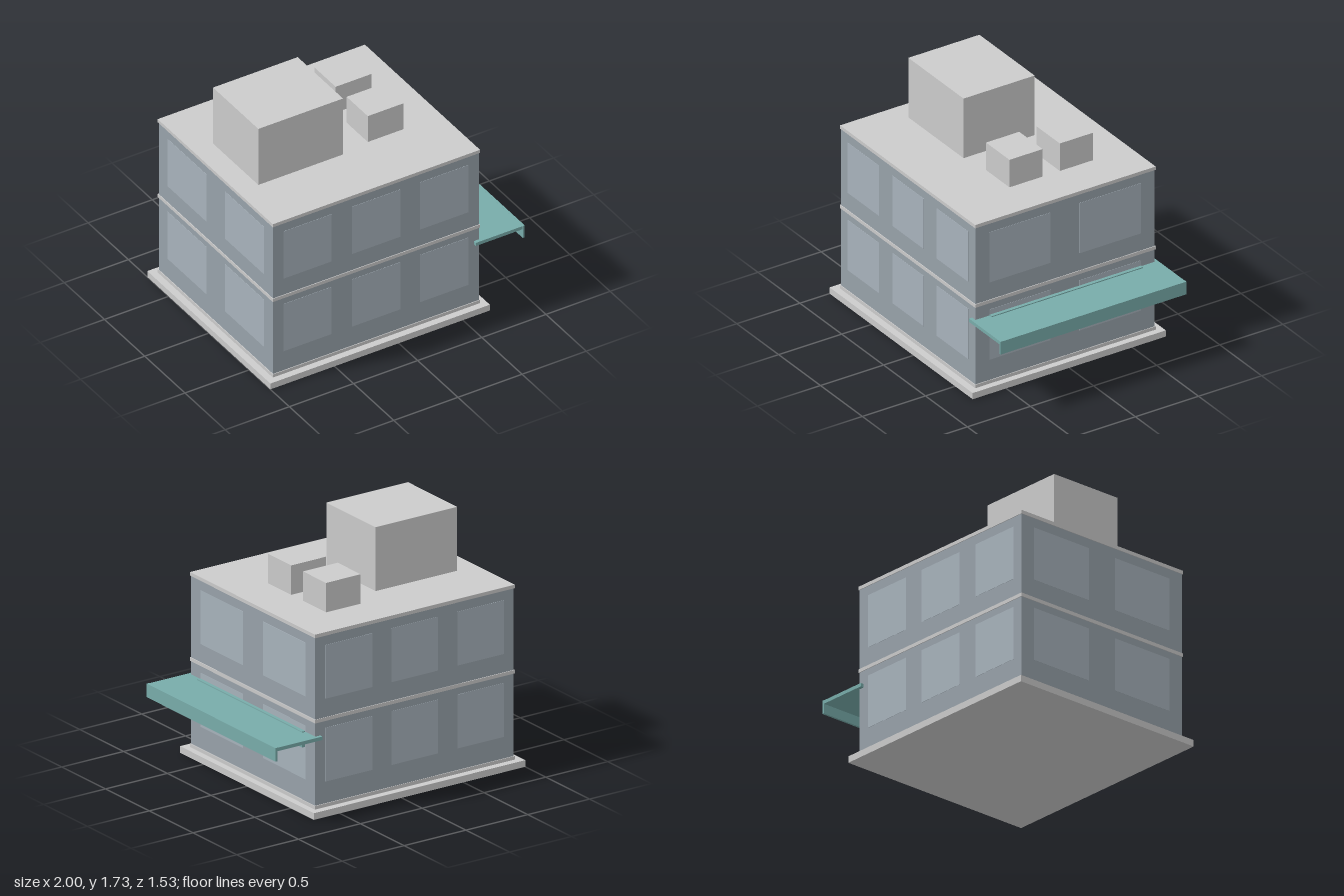
import * as THREE from 'three';

const grey = new THREE.MeshStandardMaterial({ color: 0xcccccc });
const wall = new THREE.MeshStandardMaterial({ color: 0x98a2aa });
const glass = new THREE.MeshStandardMaterial({ color: 0xa8b3bc });
const teal = new THREE.MeshStandardMaterial({ color: 0x78acaa });

// box given by its extents along each axis
function box(name, [x0, x1], [y0, y1], [z0, z1], material) {
  const mesh = new THREE.Mesh(new THREE.BoxGeometry(x1 - x0, y1 - y0, z1 - z0), material);
  mesh.position.set((x0 + x1) / 2, (y0 + y1) / 2, (z0 + z1) / 2);
  mesh.name = name;
  return mesh;
}

export function createModel() {
  const model = new THREE.Group();
  model.name = 'building';

  // base and walls
  model.add(box('plinth', [-1, 0.71], [0, 0.047], [-0.765, 0.765], grey));
  model.add(box('walls', [-0.945, 0.66], [0.047, 1.26], [-0.71, 0.71], wall));

  // floor slabs and roof slab, slightly proud of the walls
  [['groundSlab', 0.047], ['floorSlab', 0.655], ['roofSlab', 1.257]].forEach(([name, y]) =>
    model.add(box(name, [-0.95, 0.665], [y, y + 0.025], [-0.715, 0.715], grey)));

  // window panes on both storeys, all four sides
  const windows = new THREE.Group();
  windows.name = 'windows';
  const proud = 0.002;
  for (const y of [0.225, 0.81]) {
    const rows = [y, y + 0.38];
    for (const side of [-1, 1]) {
      const z = side * 0.71;
      for (const x of [-0.865, -0.33, 0.2]) {
        windows.add(box('longSideWindow', [x, x + 0.375], rows, [z - proud, z + proud], glass));
      }
      const x = side > 0 ? 0.66 : -0.945;
      for (const z0 of [-0.6, 0.115]) {
        windows.add(box('shortSideWindow', [x - proud, x + proud], rows, [z0, z0 + 0.485], glass));
      }
    }
  }
  model.add(windows);

  // entrance canopy on the left side
  const canopy = new THREE.Group();
  canopy.name = 'canopy';
  canopy.add(box('canopySlab', [0.62, 0.995], [0.535, 0.56], [-0.735, 0.735], teal));
  canopy.add(box('canopyLip', [0.985, 1], [0.465, 0.561], [-0.736, 0.736], teal));
  canopy.add(box('canopyWallBeam', [0.663, 0.688], [0.455, 0.567], [-0.6, 0.6], teal));
  model.add(canopy);

  // rooftop plant
  model.add(box('roofHouse', [-0.79, -0.13], [1.28, 1.733], [-0.283, 0.28], grey));
  for (const z of [-0.417, -0.018]) {
    model.add(box('roofUnit', [0.085, 0.365], [1.28, 1.49], [z, z + 0.263], grey));
  }

  return model;
}
